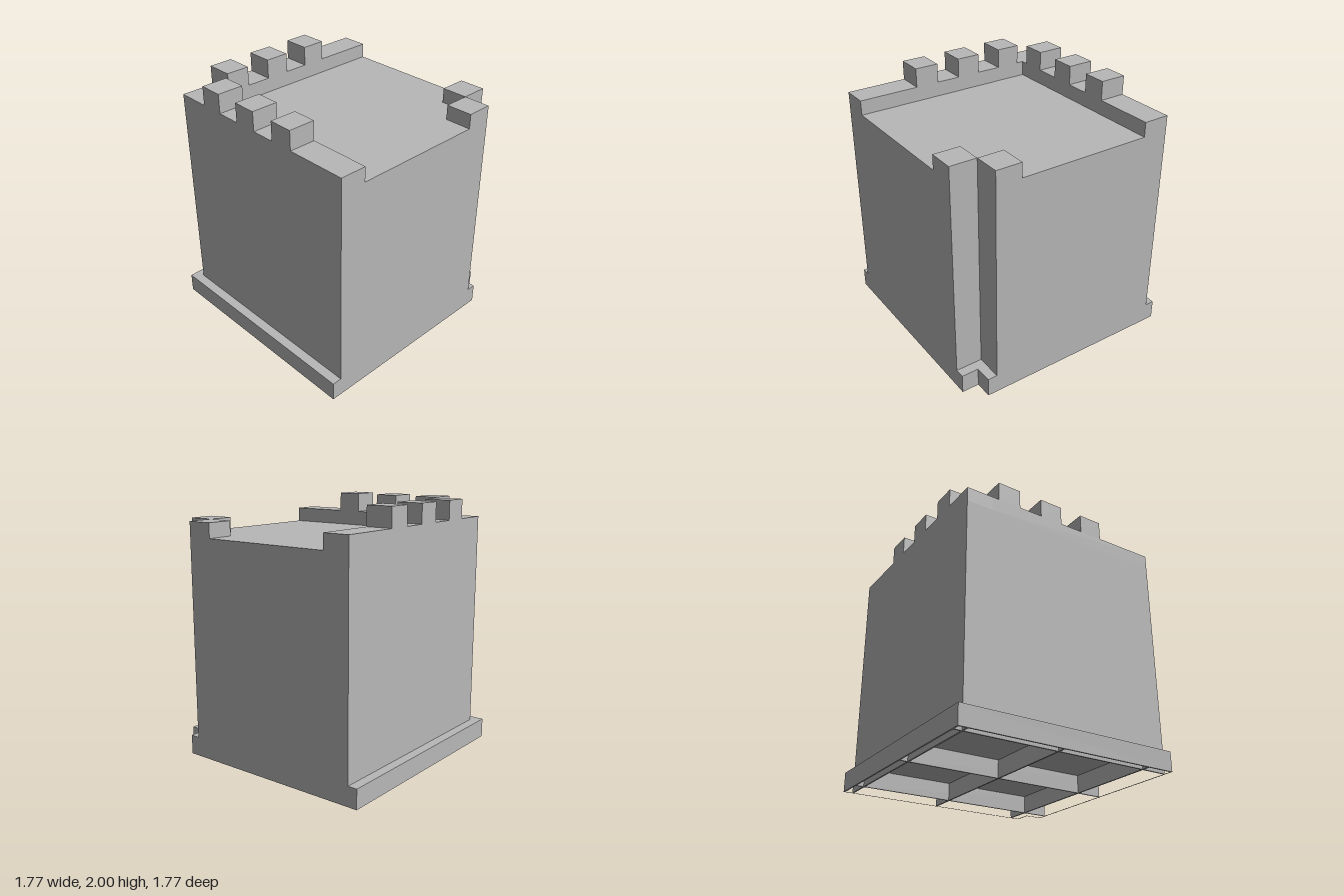
import * as THREE from 'three';

const stone = new THREE.MeshStandardMaterial({ color: 0xb8b8b8 });
stone.name = 'stone grey';

// Square plan with one notched corner (+x, +z), in x and z
function plan(min, max, notch, inset = 0) {
  const a = min + inset, b = max - inset, n = notch - inset;
  return [[a, a], [b, a], [b, n], [n, n], [n, b], [a, b]]
    .map(([x, z]) => new THREE.Vector2(x, -z));
}

export function createModel() {
  const model = new THREE.Group();
  model.name = 'towerCorner';

  const add = (name, geometry) => {
    const mesh = new THREE.Mesh(geometry, stone);
    mesh.name = name;
    model.add(mesh);
    return mesh;
  };
  const box = (name, x0, x1, y0, y1, z0, z1) => {
    const mesh = add(name, new THREE.BoxGeometry(x1 - x0, y1 - y0, z1 - z0));
    mesh.position.set((x0 + x1) / 2, (y0 + y1) / 2, (z0 + z1) / 2);
  };
  const prism = (name, outline, y0, y1, hole) => {
    const shape = new THREE.Shape(outline);
    if (hole) shape.holes.push(new THREE.Path(hole));
    const geometry = new THREE.ExtrudeGeometry(shape, { depth: y1 - y0, bevelEnabled: false });
    geometry.rotateX(-Math.PI / 2);
    add(name, geometry).position.y = y0;
  };

  // Main block with its flat roof
  prism('towerBody', plan(-0.81, 0.885, 0.672), 0.145, 1.735);

  // Hollow plinth: thin skirt and ledge
  const foot = plan(-0.885, 0.885, 0.748);
  prism('plinthSkirt', foot, 0, 0.145, plan(-0.885, 0.885, 0.748, 0.012));
  prism('plinthLedge', foot, 0.14, 0.153);

  // Ribs under the plinth, forming four large cells and edge channels
  for (const p of [-0.81, -0.07, 0.67]) {
    box('underRib', p - 0.006, p + 0.006, 0, 0.142, -0.876, 0.876);
    box('underRib', -0.876, 0.876, 0, 0.142, p - 0.006, p + 0.006);
  }

  // Parapets on the two outer sides
  box('backParapet', -0.81, 0.885, 1.735, 1.85, -0.81, -0.6);
  box('leftParapet', -0.81, -0.6, 1.735, 1.85, -0.6, 0.885);

  // Three merlons on each parapet
  for (const p of [-0.545, -0.163, 0.217]) {
    box('backMerlon', p, p + 0.19, 1.85, 2, -0.81, -0.6);
    box('leftMerlon', -0.81, -0.6, 1.85, 2, p, p + 0.19);
  }

  // Blocks flanking the notched corner
  box('notchBlock', 0.465, 0.672, 1.735, 1.85, 0.672, 0.885);
  box('notchBlock', 0.672, 0.885, 1.735, 1.85, 0.465, 0.672);

  return model;
}
